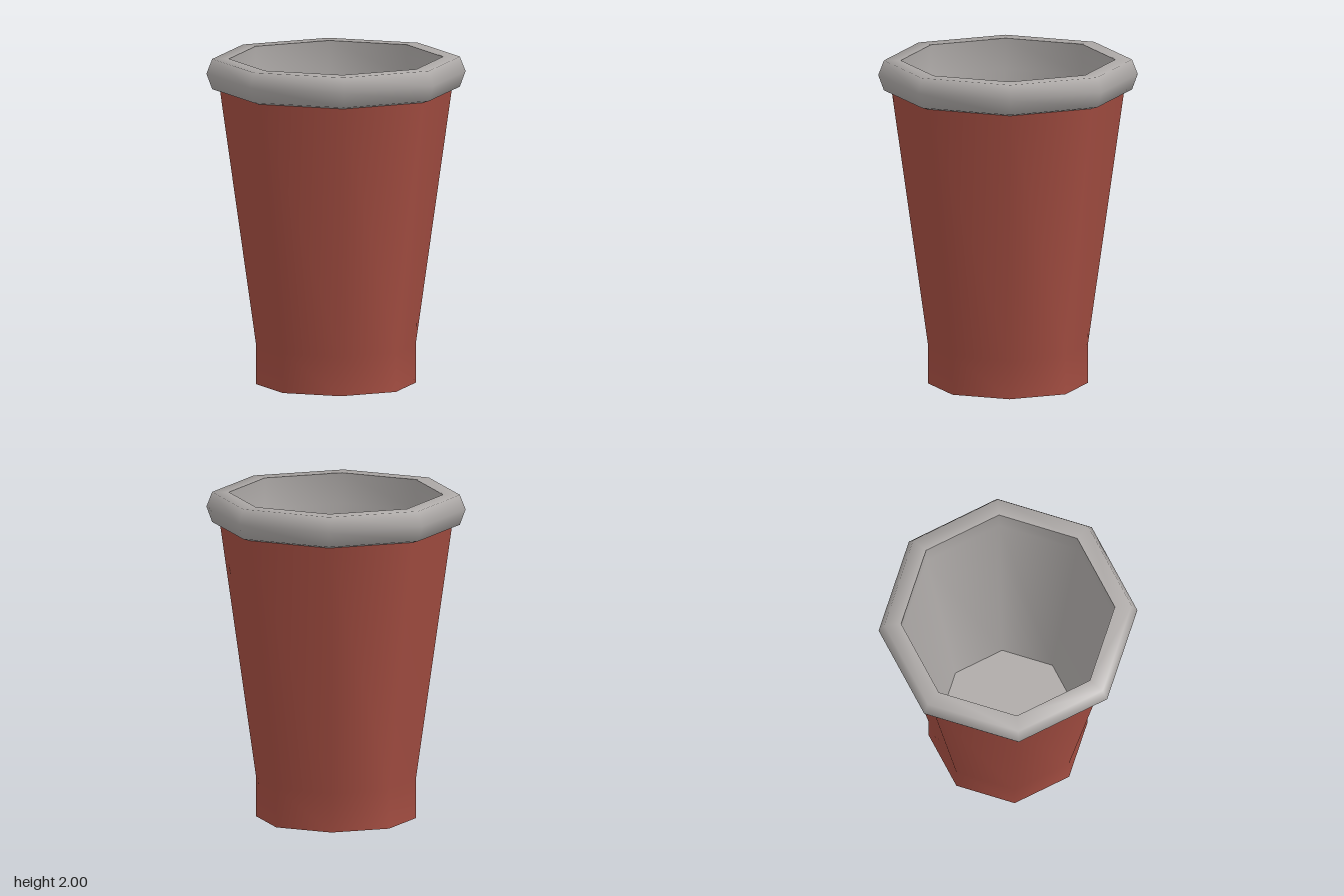
import * as THREE from 'three';

export function createModel() {
  const cup = new THREE.Group();
  cup.name = 'cup';

  const red = new THREE.MeshStandardMaterial({ color: 0xa54e42 });
  red.name = 'brick red';
  const grey = new THREE.MeshStandardMaterial({ color: 0xaca8a6 });
  grey.name = 'warm grey';

  // Eight-sided turned part; the profile is a list of [radius, height]
  const turn = (name, material, profile) => {
    const points = profile.map(([r, y]) => new THREE.Vector2(r, y));
    const mesh = new THREE.Mesh(new THREE.LatheGeometry(points, 8), material);
    mesh.name = name;
    cup.add(mesh);
  };

  // Outer shell: short straight foot, then tapered wall
  turn('base', red, [[0, 0], [0.485, 0]]);
  turn('outerWall', red, [[0.485, 0], [0.485, 0.24], [0.705, 1.81]]);

  // Rolled rim, rounded on the outside and flat on top
  turn('rimUnderside', grey, [[0.69, 1.8], [0.705, 1.8]]);
  turn('rim', grey, [[0.705, 1.8], [0.752, 1.815], [0.787, 1.91], [0.752, 2], [0.65, 2]]);

  // Hollow inside
  turn('innerWall', grey, [[0.65, 2], [0.65, 1.81], [0.417, 0.24]]);
  turn('innerFloor', grey, [[0.417, 0.24], [0, 0.24]]);

  return cup;
}
